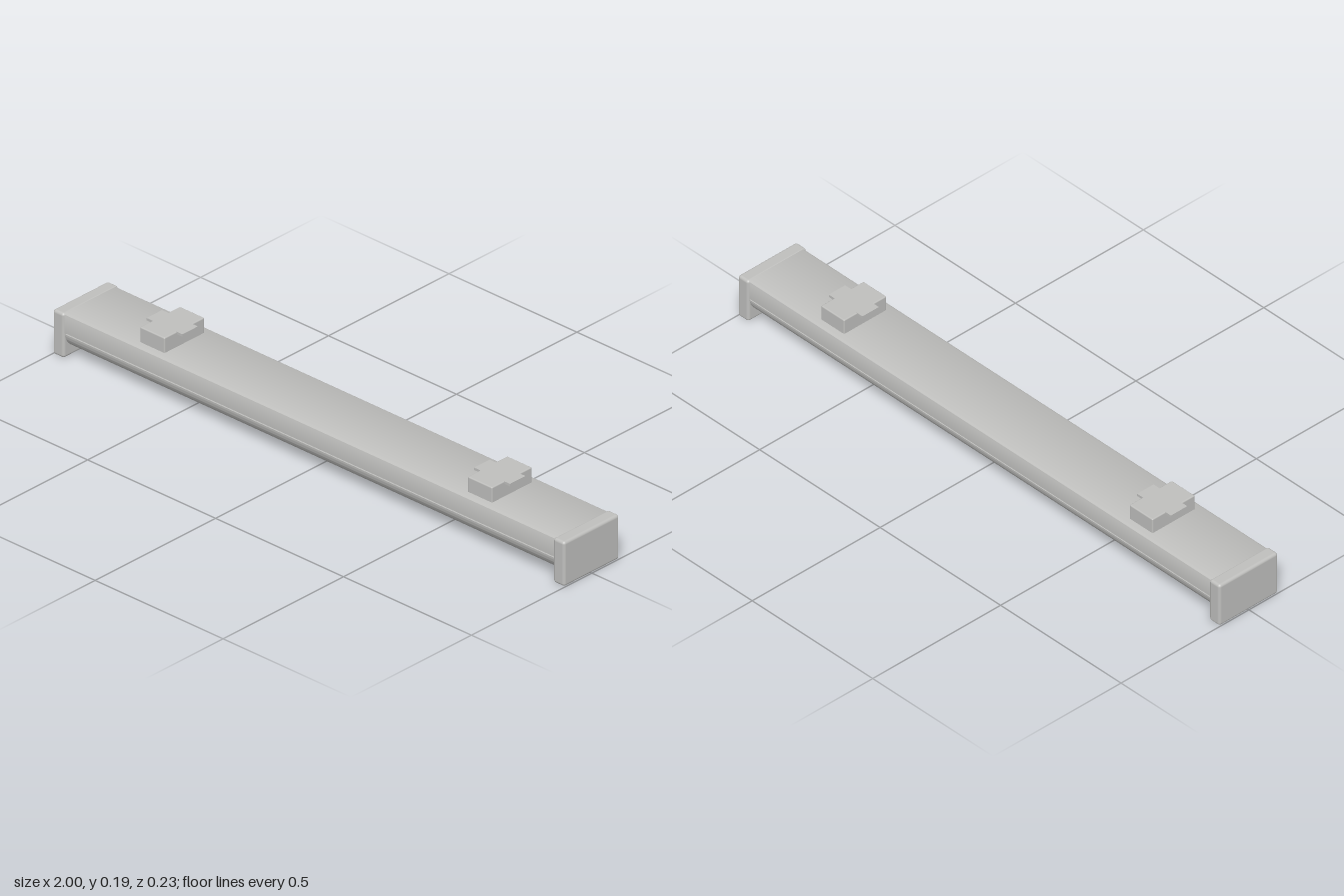
import * as THREE from 'three';
import { toCreasedNormals } from 'three/addons/utils/BufferGeometryUtils.js';
import { RoundedBoxGeometry } from 'three/addons/geometries/RoundedBoxGeometry.js';

const BODY = 1.93; // length between the insides of the end caps

export function createModel() {
  const model = new THREE.Group();
  const grey = new THREE.MeshStandardMaterial({ color: 0xbfbfbd });
  grey.name = 'satin grey';

  const add = (name, geometry, x = 0, y = 0, z = 0, parent = model) => {
    const mesh = new THREE.Mesh(geometry, grey);
    mesh.name = name;
    mesh.position.set(x, y, z);
    parent.add(mesh);
    return mesh;
  };

  // Cross-section in (z, y), swept along x
  const sweep = (shape, length) => {
    const g = new THREE.ExtrudeGeometry(shape, { depth: length, bevelEnabled: false, curveSegments: 40 });
    g.translate(0, 0, -length / 2);
    g.rotateY(Math.PI / 2);
    return toCreasedNormals(g, 0.6);
  };

  // Upper housing with softened top edges
  const w = 0.11, top = 0.144, r = 0.009;
  const housing = new THREE.Shape();
  housing.moveTo(-w, 0.082);
  housing.lineTo(w, 0.082);
  housing.lineTo(w, top - r);
  housing.absarc(w - r, top - r, r, 0, Math.PI / 2, false);
  housing.lineTo(-w + r, top);
  housing.absarc(-w + r, top - r, r, Math.PI / 2, Math.PI, false);
  add('housing', sweep(housing, BODY));

  // Narrow recessed seam between housing and diffuser
  add('seam', new THREE.BoxGeometry(BODY, 0.012, 0.208), 0, 0.079, 0);

  // Curved lower diffuser
  const diffuser = new THREE.Shape();
  diffuser.moveTo(0.109, 0.077);
  diffuser.lineTo(-0.109, 0.077);
  diffuser.absellipse(0, 0.077, 0.109, 0.067, Math.PI, Math.PI * 2, false);
  add('diffuser', sweep(diffuser, BODY));

  for (const side of [-1, 1]) {
    const label = side > 0 ? 'left' : 'right';
    add(label + 'EndCap', new RoundedBoxGeometry(0.044, 0.145, 0.23, 3, 0.009), side * 0.978, 0.0725, 0);

    // Mounting clip: block with a thin cross plate on top
    const clip = new THREE.Group();
    clip.name = label + 'MountingClip';
    clip.position.x = side * 0.64;
    model.add(clip);
    add('clipBlock', new RoundedBoxGeometry(0.096, 0.056, 0.166, 2, 0.004), 0, 0.165, 0, clip);
    add('clipPlate', new THREE.BoxGeometry(0.14, 0.008, 0.064), 0, 0.189, 0, clip);
  }
  return model;
}
